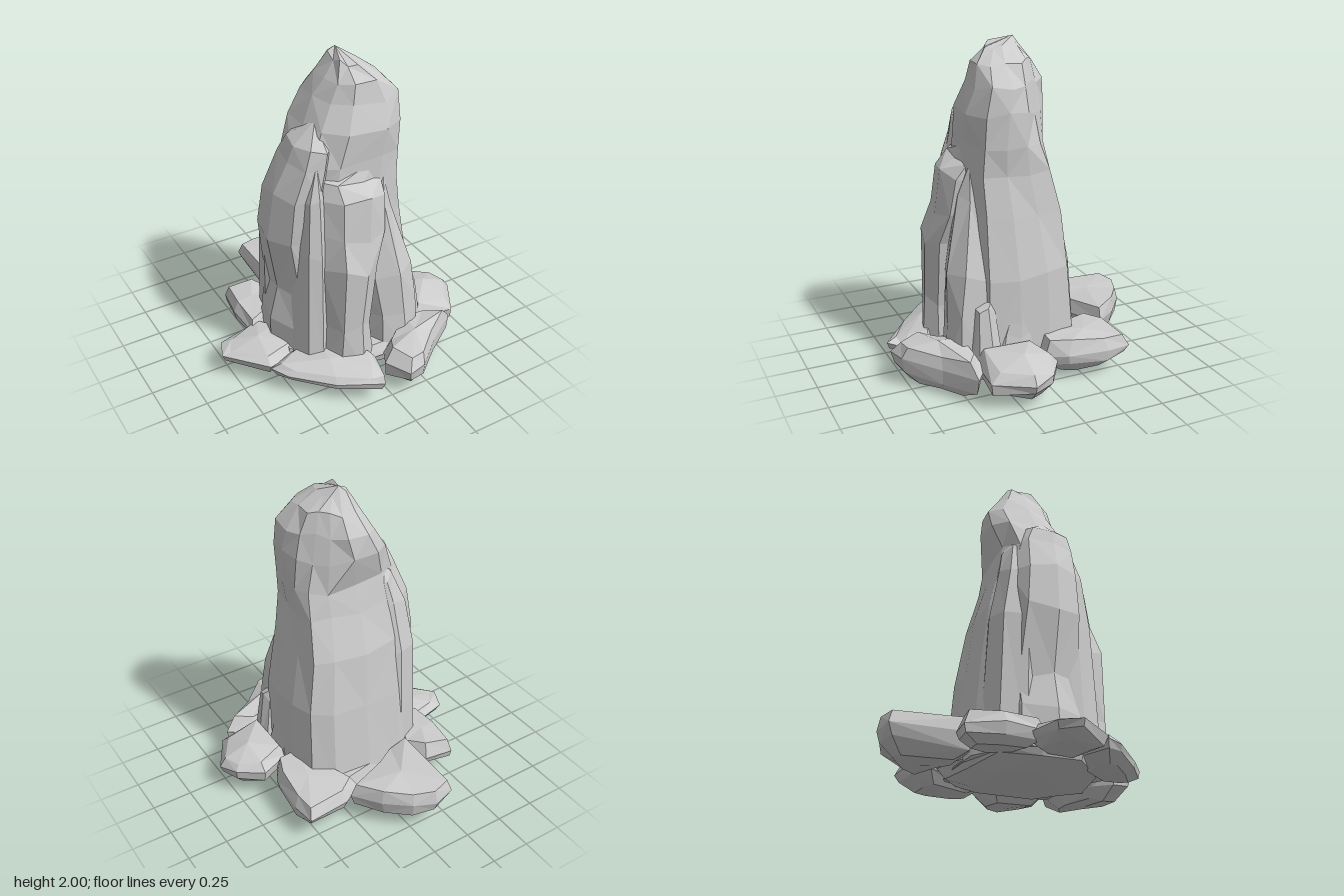
import * as THREE from 'three';

const material = new THREE.MeshStandardMaterial({ color: 0xcccccc, flatShading: true });

// repeatable noise in -1..1
function noise(n) {
  const s = Math.sin(n * 127.1 + 11.7) * 43758.5453;
  return (s - Math.floor(s)) * 2 - 1;
}

// closed rock skin through rings of [x, y, z] points, with a fan at each end
function loft(name, rings, bottom, top) {
  const n = rings[0].length, last = rings.length - 1;
  const pos = rings.flat(2).concat(bottom, top);
  const b = n * rings.length, t = b + 1, idx = [];
  for (let j = 0; j < n; j++) {
    const k = (j + 1) % n;
    for (let i = 0; i < last; i++) {
      const p = i * n + j, q = i * n + k, r = p + n, s = q + n;
      if ((i + j) % 2) idx.push(p, r, q, q, r, s);
      else idx.push(p, r, s, p, s, q);
    }
    idx.push(b, j, k, t, last * n + k, last * n + j);
  }
  const indexed = new THREE.BufferGeometry();
  indexed.setAttribute('position', new THREE.Float32BufferAttribute(pos, 3));
  indexed.setIndex(idx);
  const geometry = indexed.toNonIndexed();
  geometry.computeVertexNormals();
  const mesh = new THREE.Mesh(geometry, material);
  mesh.name = name;
  return mesh;
}

// upright column: a unit plan fitted to [y, xMin, xMax, zMin, zMax, cut] at each level;
// cut is the largest x - z allowed, which planes off the back left corner
function column(name, plan, levels, apex, seed, rough = 0.014) {
  const rings = levels.map(([y, x0, x1, z0, z1, cut = 2], i) => plan.map(([u, v], j) => {
    const k = seed + i * 17 + j * 3.3;
    const wobble = i === 0 ? 0 : Math.min(rough, (x1 - x0) * 0.1);
    const lift = i === 0 ? 0 : rough * 2.5 * noise(k + 2);
    // pull vertices inwards only, so the level limits hold
    const x = x0 + u * (x1 - x0) + (0.5 - u) * 2 * wobble * (1 + noise(k));
    const z = z0 + v * (z1 - z0) + (0.5 - v) * 2 * wobble * (1 + noise(k + 1));
    const over = Math.max(0, x - z - cut) / 2;
    return [x - over, Math.min(y + lift, apex[1]), z + over];
  }));
  const f = levels[0];
  return loft(name, rings, [(f[1] + f[2]) / 2, f[0], (f[3] + f[4]) / 2], apex);
}

// flat boulder: an outline in x, z, narrowed towards the underside and bevelled on top
function boulder(name, outline, y0, y1, seed, topScale, tipDrop = 0) {
  let area = 0, cx = 0, cz = 0;
  outline.forEach(([x, z], i) => {
    const [x2, z2] = outline[(i + 1) % outline.length];
    area += x * z2 - x2 * z;
    cx += x / outline.length;
    cz += z / outline.length;
  });
  const pts = area > 0 ? outline : [...outline].reverse();
  const h = y1 - y0;
  const profile = [[0.58, 0.04], [0.92, 0.3], [1, 0.55], [topScale, 0.94]];
  const rings = profile.map(([s, f], i) => pts.map(([x, z], j) => {
    const k = seed + i * 13 + j * 2.7;
    const r = i === 2 ? s : s + 0.05 * noise(k);
    const drop = i === 3 ? tipDrop * Math.max(0, Math.hypot(x, z) - 0.45) : 0;
    return [cx + (x - cx) * r, y0 + h * (f + (i === 0 ? 0.04 : 0.09) * noise(k + 1)) - drop, cz + (z - cz) * r];
  }));
  return loft(name, rings, [cx, y0, cz], [cx, y1, cz]);
}

export function createModel() {
  const model = new THREE.Group();
  model.name = 'rockSpire';

  // plans run from +x round towards +z
  const broad = [[1, 0.35], [1, 0.62], [0.96, 0.88], [0.72, 1], [0.3, 0.96], [0.08, 0.78],
    [0, 0.5], [0.02, 0.15], [0.2, 0.02], [0.5, 0], [0.8, 0.03], [0.98, 0.1]];
  const slab = [[1, 0.4], [0.9, 0.85], [0.6, 1], [0.2, 0.9], [0, 0.55], [0.08, 0.15], [0.45, 0], [0.9, 0.08]];

  const spire = new THREE.Group();
  spire.name = 'spire';
  spire.add(
    column('mainSpire', broad, [
      [0.08, -0.4, 0.42, -0.34, 0.4, 0.64],
      [0.65, -0.38, 0.405, -0.295, 0.38, 0.57],
      [1.0, -0.36, 0.345, -0.245, 0.37, 0.5],
      [1.25, -0.34, 0.31, -0.175, 0.36, 0.42],
      [1.42, -0.32, 0.32, -0.145, 0.355, 0.34],
      [1.6, -0.24, 0.33, -0.19, 0.355, 0.28],
      [1.75, -0.16, 0.32, -0.19, 0.31, 0.24],
      [1.87, -0.09, 0.23, -0.11, 0.275, 0.19],
      [1.96, -0.03, 0.11, -0.04, 0.19, 0.09],
    ], [0.03, 2, 0], 3, 0.008),
    column('rightSlab', slab, [
      [0.1, -0.48, -0.1, -0.2, 0.33],
      [0.35, -0.48, -0.1, -0.2, 0.33],
      [0.52, -0.43, -0.1, -0.2, 0.33],
      [0.95, -0.51, -0.1, -0.17, 0.33],
      [1.23, -0.47, -0.1, -0.14, 0.33],
      [1.42, -0.37, -0.1, -0.1, 0.33],
      [1.53, -0.33, -0.1, -0.05, 0.31],
    ], [-0.18, 1.65, 0.14], 41),
    column('backRightSlab', slab, [
      [0.1, -0.43, -0.05, -0.29, 0.1],
      [0.9, -0.43, -0.07, -0.25, 0.1],
      [1.2, -0.38, -0.08, -0.2, 0.1],
      [1.38, -0.31, -0.1, -0.15, 0.08],
    ], [-0.19, 1.5, -0.06], 77),
    column('frontSlab', slab, [
      [0.08, -0.29, 0.06, 0.1, 0.56],
      [0.4, -0.28, 0.05, 0.1, 0.56],
      [0.8, -0.28, 0.1, 0.1, 0.56],
      [1.0, -0.27, 0.16, 0.1, 0.5],
      [1.22, -0.26, 0.19, 0.1, 0.46],
      [1.3, -0.25, 0.19, 0.1, 0.38],
    ], [0.11, 1.41, 0.32], 113),
    column('frontLeftSlab', slab, [
      [0.08, 0.02, 0.4, 0.1, 0.54],
      [0.4, 0, 0.39, 0.1, 0.53],
      [0.65, -0.05, 0.37, 0.1, 0.5],
      [1.1, -0.02, 0.25, 0.1, 0.41],
    ], [0.16, 1.3, 0.33], 151),
    column('frontRightSlab', slab, [
      [0.1, -0.42, -0.2, 0.1, 0.42],
      [0.9, -0.39, -0.2, 0.1, 0.41],
      [1.25, -0.36, -0.2, 0.1, 0.37],
    ], [-0.25, 1.46, 0.28], 167),
    column('leftFootBlock', slab, [
      [0.08, 0.25, 0.47, 0.22, 0.43],
      [0.48, 0.25, 0.42, 0.26, 0.4],
    ], [0.38, 0.52, 0.3], 181),
    column('leftFootWedge', slab, [
      [0.08, 0.25, 0.45, 0, 0.3],
      [0.3, 0.25, 0.435, 0.03, 0.25],
    ], [0.39, 0.7, 0.08], 199),
  );
  model.add(spire);

  // ring of boulders: outline, underside, top, bevel scale, drop towards the outer tip
  const boulders = [
    ['backBoulder', [[-0.27, -0.8], [-0.14, -0.83], [0, -0.78], [0.15, -0.66], [0.27, -0.5],
      [0, -0.38], [-0.15, -0.3], [-0.27, -0.31]], 0.05, 0.29, 0.9, 0],
    ['backLeftBoulder', [[0.17, -0.43], [0.3, -0.51], [0.57, -0.53], [0.59, -0.38], [0.57, -0.12],
      [0.5, 0], [0.36, 0]], 0.04, 0.27, 0.84, 0],
    ['leftBoulder', [[0.4, 0.05], [0.6, -0.03], [0.75, 0.07], [0.8, 0.2], [0.67, 0.42], [0.4, 0.41]],
      0.04, 0.28, 0.78, 0.1],
    ['frontLeftBoulder', [[0, 0.66], [0.06, 0.55], [0.28, 0.4], [0.48, 0.38], [0.61, 0.47], [0.4, 0.61],
      [0.2, 0.79], [0.08, 0.82]], 0.01, 0.29, 0.8, 0.1],
    ['frontRightBoulder', [[-0.6, 0.32], [-0.45, 0.24], [-0.27, 0.25], [0, 0.55], [-0.03, 0.7],
      [-0.08, 0.79], [-0.32, 0.63], [-0.54, 0.43]], 0.05, 0.22, 0.8, 0.12],
    ['rightBoulder', [[-0.81, 0.08], [-0.76, -0.05], [-0.48, -0.12], [-0.38, 0], [-0.35, 0.25],
      [-0.6, 0.32]], 0.06, 0.22, 0.75, 0.1],
    ['backRightBoulder', [[-0.53, -0.47], [-0.34, -0.45], [-0.25, -0.31], [-0.36, -0.1],
      [-0.55, -0.02], [-0.57, -0.25]], 0.06, 0.25, 0.8, 0],
  ];
  const ring = new THREE.Group();
  ring.name = 'boulderRing';
  boulders.forEach(([name, outline, y0, y1, scale, drop], i) =>
    ring.add(boulder(name, outline, y0, y1, 211 + i * 31, scale, drop)));
  model.add(ring);

  // footing under the spire, tying the boulders together
  model.add(boulder('footing', [[0.44, 0.1], [0.42, 0.36], [0.15, 0.53], [-0.2, 0.5], [-0.44, 0.25], [-0.46, 0],
    [-0.4, -0.24], [-0.1, -0.34], [0.2, -0.38], [0.36, -0.25]], 0, 0.2, 503, 0.95));
  return model;
}
